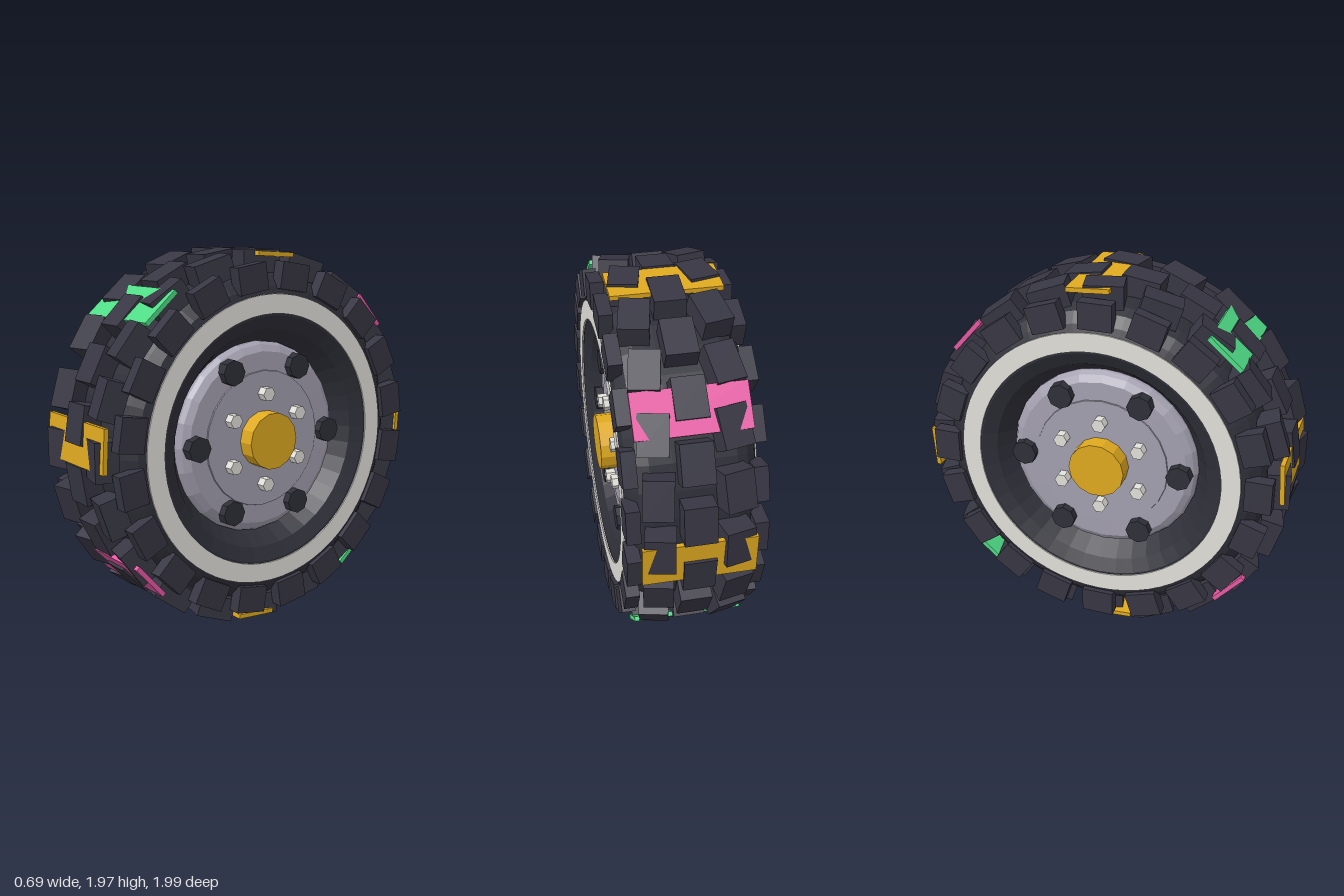
import * as THREE from 'three';

const material = (name, color) => {
  const m = new THREE.MeshStandardMaterial({ color });
  m.name = name;
  return m;
};
const rubber = material('dark rubber', 0x2f2f39);
const tread = material('tread rubber', 0x373643);
const wall = material('pale band', 0xe3e1db);
const steel = material('grey steel', 0xa4a0b0);
const gold = material('gold', 0xe0aa20);
const green = material('green', 0x4fdc86);
const pink = material('pink', 0xe85aa4);

const RAD = Math.PI / 180;
const STEP = 18; // twenty lugs per row

// Faceted mesh with hard edges
function facet(geometry, mat, name) {
  const g = geometry.index ? geometry.toNonIndexed() : geometry;
  g.computeVertexNormals();
  const mesh = new THREE.Mesh(g, mat);
  mesh.name = name;
  return mesh;
}

// Profile of [radius, x] pairs turned around the axle (x axis)
function turned(points, segments, mat, name) {
  const pts = points.map(([r, x]) => new THREE.Vector2(r, x));
  const mesh = facet(new THREE.LatheGeometry(pts, segments), mat, name);
  mesh.rotation.z = -Math.PI / 2;
  return mesh;
}

// Mirrors a half profile (centre plane outwards) to the full width
const mirrored = (half) => [...half.map(([r, x]) => [r, -x]).reverse(), ...half];

export function createModel() {
  const model = new THREE.Group();
  model.name = 'wheel';
  const wheel = new THREE.Group();
  wheel.name = 'wheelBody';
  wheel.position.y = 0.986;
  model.add(wheel);

  // Places a block on the circumference, facing outwards, then yaws it about the vertical
  function around(size, mat, name, degrees, radius, x = 0, yaw = 0) {
    const mesh = facet(new THREE.BoxGeometry(...size), mat, name);
    const a = degrees * RAD;
    mesh.position.set(x, Math.sin(a) * radius, Math.cos(a) * radius);
    mesh.rotation.set(-a, yaw, 0, 'YXZ');
    wheel.add(mesh);
  }

  // Tyre carcass
  wheel.add(turned(mirrored([
    [0.88, 0.1], [0.875, 0.21], [0.85, 0.265], [0.8, 0.31], [0.76, 0.325],
    [0.65, 0.325], [0.58, 0.29], [0.5, 0.17],
  ]), 40, rubber, 'tyre'));

  // Rim with a bevelled edge and a slightly raised inner face
  wheel.add(turned(mirrored([
    [0.51, 0.18], [0.51, 0.2], [0.495, 0.225], [0.46, 0.248], [0.362, 0.25], [0.36, 0.256], [0, 0.256],
  ]), 24, steel, 'rim'));

  for (const s of [-1, 1]) {
    // Pale sidewall band
    const band = [[0.76, 0.315], [0.76, 0.332], [0.66, 0.332], [0.66, 0.315]];
    wheel.add(turned(s > 0 ? band : band.map(([r, x]) => [r, -x]).reverse(), 64, wall, 'sidewallBand'));

    // Hub cap
    const cap = facet(new THREE.CylinderGeometry(0.15, 0.15, 0.11, 14), gold, 'hubCap');
    cap.rotation.z = -Math.PI / 2;
    cap.position.x = s * 0.292;
    wheel.add(cap);

    // Outer wheel bolts and inner hub nuts
    const ring = (count, start, r, size, sides, x, depth, mat, name) => {
      for (let i = 0; i < count; i++) {
        const a = (start + i * 360 / count) * RAD;
        const bolt = facet(new THREE.CylinderGeometry(size, size, depth, sides), mat, name);
        bolt.rotation.z = -Math.PI / 2;
        bolt.position.set(s * x, Math.sin(a) * r, Math.cos(a) * r);
        wheel.add(bolt);
      }
    };
    ring(6, 0, 0.425, 0.067, 8, 0.262, 0.06, rubber, 'wheelBolt');
    ring(6, 30, 0.242, 0.038, 6, 0.277, 0.06, wall, 'hubNut');
  }

  // Tread lugs: centre row, yawed shoulder rows, staggered side rows
  for (let i = 0; i < 20; i++) {
    const a = i * STEP;
    around([0.16, 0.2, 0.12], tread, 'centreLug', a + 9, 0.92);
    for (const s of [-1, 1]) {
      around([0.15, 0.2, 0.12], tread, 'shoulderLug', a, 0.919, s * 0.183, -s * 0.22);
      around([0.07, 0.175, 0.14], tread, 'sideLug', a + (s > 0 ? 9 : 0), 0.85, s * 0.309);
    }
  }

  // Coloured plates between the lugs
  const plateColors = [gold, green, gold, pink];
  for (let i = 0; i < 8; i++) {
    around([0.56, 0.225, 0.024], plateColors[i % 4], 'treadPlate', 3.5 + i * 45, 0.957);
  }

  return model;
}
